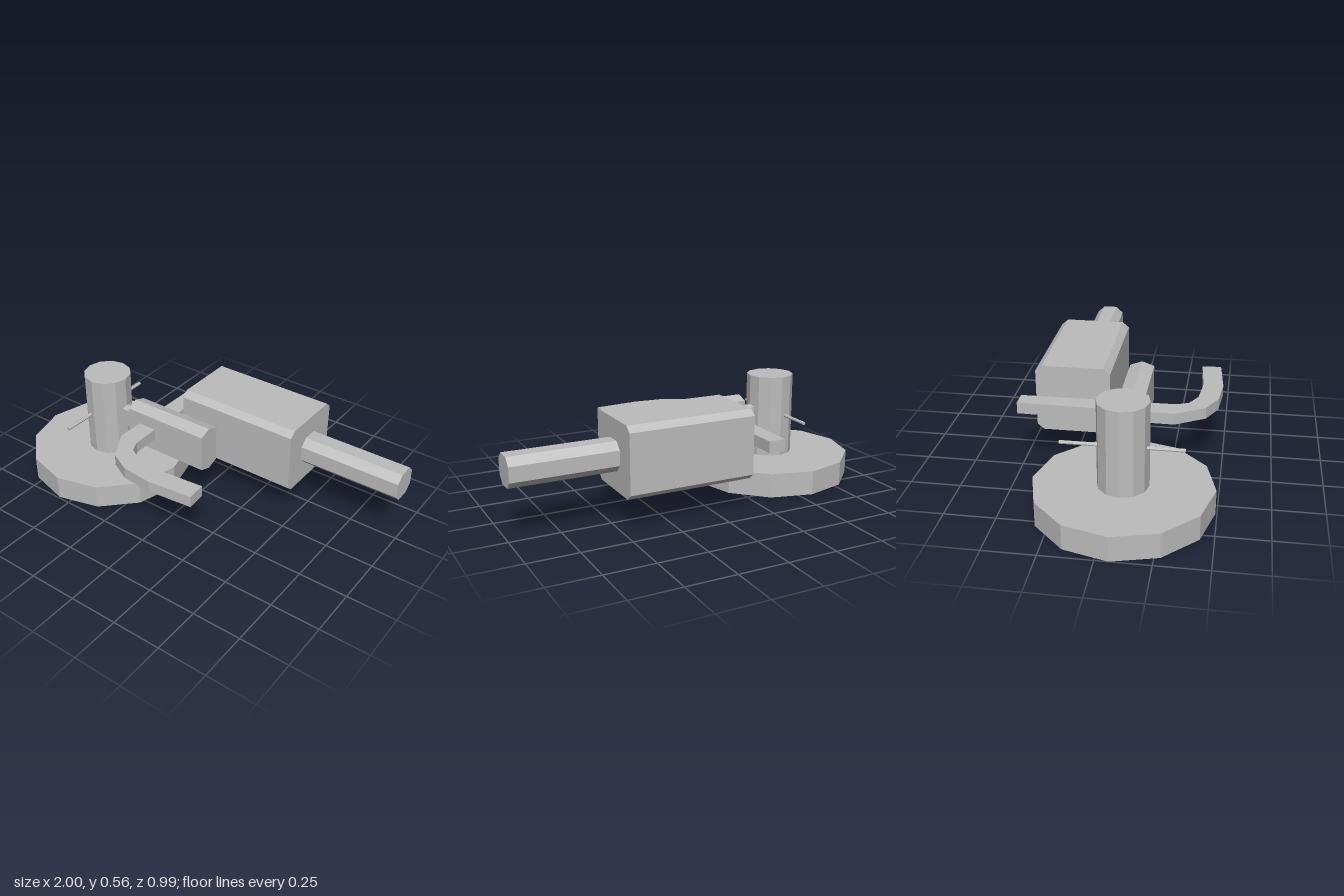
import * as THREE from 'three';

export function createModel() {
  const group = new THREE.Group();
  const grey = new THREE.MeshStandardMaterial({ color: 0xbcbcbc, flatShading: true });
  const add = (name, geometry, x = 0, y = 0, z = 0) => {
    const mesh = new THREE.Mesh(geometry, grey);
    mesh.name = name;
    mesh.position.set(x, y, z);
    group.add(mesh);
    return mesh;
  };
  const extrude = (points, depth) => new THREE.ExtrudeGeometry(
    new THREE.Shape(points.map(([x, y]) => new THREE.Vector2(x, y))),
    { depth, bevelEnabled: false });

  // Prism along x with a section symmetric in z and y
  const prism = (name, section, x0, x1, y, z) =>
    add(name, extrude(section, x1 - x0).rotateY(Math.PI / 2), x0, y, z);
  const chamfered = (w, h, cw, ch) => [
    [w, -h + ch], [w, h - ch], [w - cw, h], [-w + cw, h],
    [-w, h - ch], [-w, -h + ch], [-w + cw, -h], [w - cw, -h]];
  const ridged = (w, h, c) => [
    [w, -h + c], [w, h - c], [0, h], [-w, h - c], [-w, -h + c], [0, -h]];

  const axisX = -0.57, axisZ = 0.063, midY = 0.34;

  // Twelve-sided base and column
  add('base', new THREE.CylinderGeometry(0.43, 0.43, 0.125, 12), axisX, 0.0625, axisZ);
  add('column', new THREE.CylinderGeometry(0.123, 0.123, 0.43, 12), axisX, 0.34, axisZ);

  // Thin pin running through the column
  add('crossPin', new THREE.CylinderGeometry(0.009, 0.009, 0.575, 8).rotateX(Math.PI / 2),
    -0.602, midY, 0.062);

  // Ridged block and its neck
  prism('neck', ridged(0.03, 0.057, 0.01), -0.47, -0.37, midY, 0.06);
  prism('ridgedBlock', ridged(0.062, 0.118, 0.022), -0.38, 0.088, midY, 0.065);

  // Flat arm passing through the block and curving forward, drawn as x, -z
  const arm = [
    [-0.3, 0.5], [-0.31, -0.27], [-0.225, -0.415], [-0.118, -0.47], [0.04, -0.485],
    [0.273, -0.463], [0.265, -0.365], [0.04, -0.385], [-0.11, -0.37], [-0.183, -0.328],
    [-0.207, -0.27], [-0.213, 0.5]];
  add('curvedArm', extrude(arm, 0.058).rotateX(-Math.PI / 2), 0, 0.313, 0);

  // Large body, its joint to the arm and the octagonal handle
  add('bodyJoint', new THREE.CylinderGeometry(0.013, 0.013, 0.07, 8).rotateZ(Math.PI / 2),
    -0.19, midY, -0.252);
  prism('body', chamfered(0.187, 0.175, 0.033, 0.028), -0.167, 0.48, midY, -0.248);
  prism('handle', chamfered(0.075, 0.073, 0.037, 0.036), 0.47, 1, midY, -0.248);

  return group;
}
